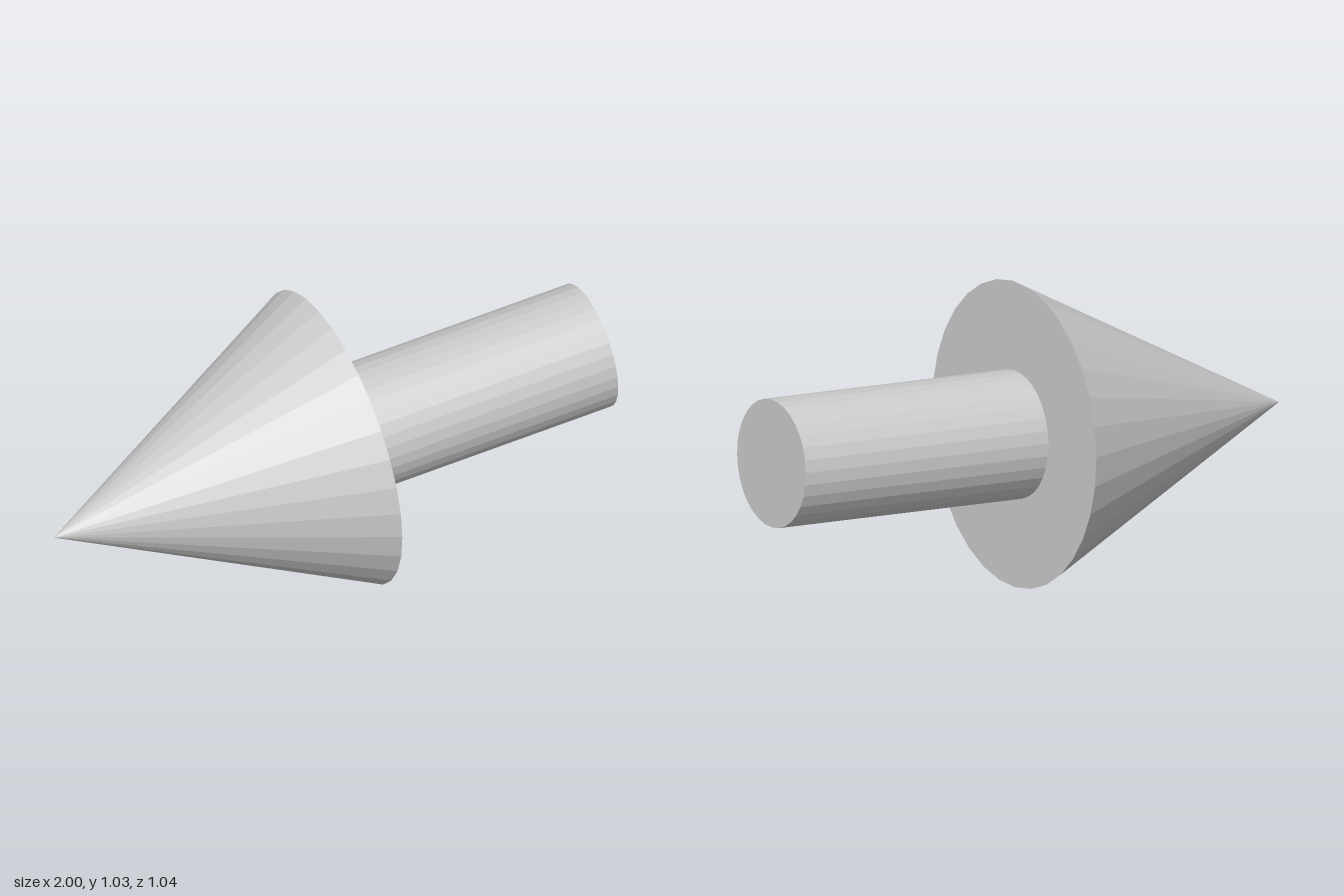
import * as THREE from 'three';

const SIDES = 32;
const CONE_RADIUS = 0.519, CONE_HEIGHT = 1.038, SHAFT_RADIUS = 0.217;

export function createModel() {
  const group = new THREE.Group();
  group.name = 'arrow';
  const material = new THREE.MeshStandardMaterial({ color: 0xcccccc, flatShading: true });

  // The arrow lies along a slightly tilted axis, from tail to tip
  const tip = new THREE.Vector3(-1, 0.442, -0.02);
  const tail = new THREE.Vector3(0.983, 0.586, 0.018);
  const length = tip.distanceTo(tail);
  const axis = tip.clone().sub(tail).normalize();
  const side = new THREE.Vector3(0, 1, 0).addScaledVector(axis, -axis.y).normalize();
  const third = new THREE.Vector3().crossVectors(side, axis);

  const arrow = new THREE.Group();
  arrow.name = 'tiltedArrow';
  arrow.quaternion.setFromRotationMatrix(new THREE.Matrix4().makeBasis(side, axis, third));
  arrow.rotateY(THREE.MathUtils.degToRad(3.7));
  arrow.position.copy(tail);
  group.add(arrow);

  const addPart = (name, geometry, y) => {
    const mesh = new THREE.Mesh(geometry, material);
    mesh.name = name;
    mesh.position.y = y;
    arrow.add(mesh);
  };

  // Shaft, from the tail to the base of the head
  const shaftLength = length - CONE_HEIGHT;
  addPart('shaft', new THREE.CylinderGeometry(SHAFT_RADIUS, SHAFT_RADIUS, shaftLength, SIDES), shaftLength / 2);

  // Pointed head with a closed base
  addPart('arrowHead', new THREE.ConeGeometry(CONE_RADIUS, CONE_HEIGHT, SIDES), length - CONE_HEIGHT / 2);

  return group;
}
